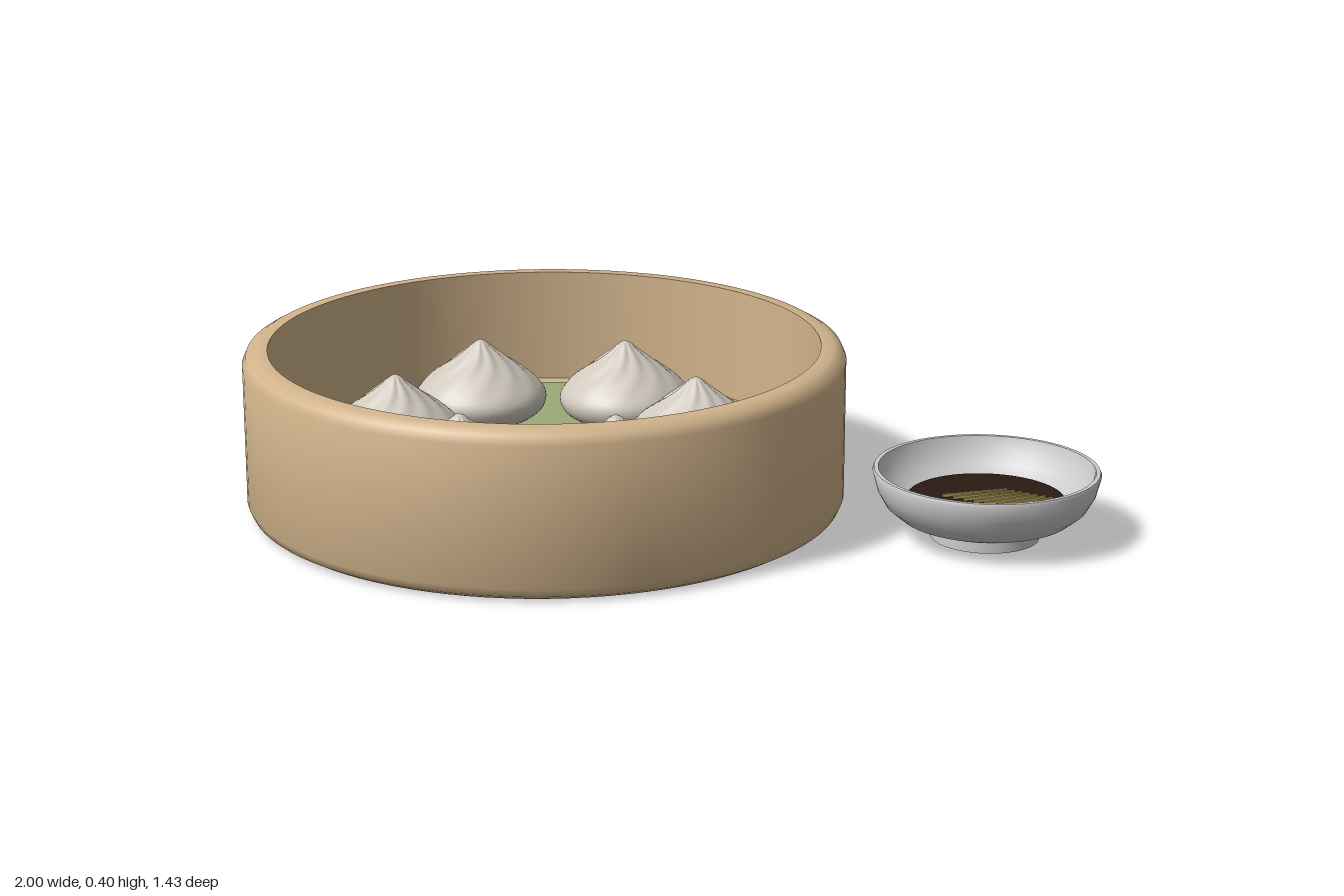
import * as THREE from 'three';
import { toCreasedNormals, mergeVertices } from 'three/addons/utils/BufferGeometryUtils.js';

const material = (color, side = THREE.FrontSide) =>
  new THREE.MeshStandardMaterial({ color, side });

const lathe = (profile, segments) =>
  new THREE.LatheGeometry(profile.map(([r, y]) => new THREE.Vector2(r, y)), segments);

function addMesh(parent, name, geometry, mat, x = 0, y = 0, z = 0) {
  const mesh = new THREE.Mesh(geometry, mat);
  mesh.name = name;
  mesh.position.set(x, y, z);
  parent.add(mesh);
  return mesh;
}

// Round dumpling whose upper half is gathered into twisted pleats
function dumplingGeometry() {
  const curve = new THREE.SplineCurve([
    [0.125, 0], [0.152, 0.02], [0.163, 0.05], [0.148, 0.08], [0.108, 0.115],
    [0.065, 0.146], [0.032, 0.172], [0.014, 0.188], [0, 0.195],
  ].map(([r, y]) => new THREE.Vector2(r, y)));
  const points = [new THREE.Vector2(0, 0), ...curve.getPoints(24)];
  points.at(-1).x = 0;
  let geo = new THREE.LatheGeometry(points, 80);
  const p = geo.attributes.position;
  for (let i = 0; i < p.count; i++) {
    const x = p.getX(i), y = p.getY(i), z = p.getZ(i);
    const t = THREE.MathUtils.smoothstep(y, 0.06, 0.17);
    const k = 1 + 0.06 * t * Math.cos(10 * Math.atan2(z, x) + 8 * t);
    p.setXYZ(i, x * k, y, z * k);
  }
  geo.deleteAttribute('normal');
  geo.deleteAttribute('uv');
  geo = mergeVertices(geo, 1e-5);
  geo.computeVertexNormals();
  return geo;
}

// Thin leaf with a gently three-lobed outline
function leafGeometry() {
  const outline = [];
  for (let i = 0; i < 72; i++) {
    const a = (i / 72) * Math.PI * 2;
    const r = 0.62 + 0.024 * Math.cos(3 * a + 2.83);
    outline.push(new THREE.Vector2(r * Math.cos(a), -r * Math.sin(a)));
  }
  return new THREE.ExtrudeGeometry(new THREE.Shape(outline), { depth: 0.006, bevelEnabled: false })
    .rotateX(-Math.PI / 2);
}

function createSteamer() {
  const steamer = new THREE.Group();
  steamer.name = 'steamer';
  const bamboo = material(0xd2b48c);

  // Basket wall, rim and floor in one profile
  const basket = lathe([
    [0, 0], [0.64, 0], [0.687, 0], [0.708, 0.012], [0.717, 0.032], [0.717, 0.363],
    [0.708, 0.383], [0.687, 0.395], [0.657, 0.395], [0.657, 0.11], [0, 0.11],
  ], 96);
  addMesh(steamer, 'basket', toCreasedNormals(basket, 1), bamboo);
  addMesh(steamer, 'leafLiner', leafGeometry(), material(0x9aab78), 0, 0.111, 0);

  // Ring of six dumplings
  const dumpling = dumplingGeometry(), dough = material(0xcfc8bd);
  for (let i = 0; i < 6; i++) {
    const a = Math.PI / 2 + (i * Math.PI) / 3;
    addMesh(steamer, 'dumpling', dumpling, dough, 0.36 * Math.cos(a), 0.117, 0.36 * Math.sin(a));
  }
  return steamer;
}

function createDish() {
  const dish = new THREE.Group();
  dish.name = 'sauceDish';

  // Bowl on a hollow foot ring
  const bowl = lathe([
    [0, 0.022], [0.112, 0.022], [0.115, 0], [0.127, 0], [0.127, 0.034], [0.16, 0.037],
    [0.2, 0.052], [0.234, 0.08], [0.254, 0.115], [0.265, 0.158], [0.262, 0.165], [0.252, 0.165],
    [0.244, 0.135], [0.222, 0.105], [0.192, 0.08], [0.15, 0.062], [0, 0.055],
  ], 64);
  addMesh(dish, 'bowl', toCreasedNormals(bowl, 0.9), material(0xcccccc));
  addMesh(dish, 'sauce', new THREE.CylinderGeometry(0.184, 0.175, 0.02, 64), material(0x2a1a12), 0, 0.082, 0);

  // Fanned strands lying on the sauce
  const strandMat = material(0xc2ab62);
  for (let i = 0; i < 8; i++) {
    const x0 = -0.09 + i * 0.027, x1 = 0.02 + i * 0.0195;
    const length = Math.hypot(x1 - x0, 0.115);
    const strand = addMesh(dish, 'strand', new THREE.BoxGeometry(0.007, 0.007, length),
      strandMat, (x0 + x1) / 2, 0.095, -0.013);
    strand.rotation.y = -Math.atan2(x1 - x0, 0.115);
  }
  return dish;
}

export function createModel() {
  const model = new THREE.Group();
  model.name = 'steamedDumplings';
  const steamer = createSteamer();
  steamer.position.x = -0.283;
  const dish = createDish();
  dish.position.set(0.735, 0, -0.315);
  model.add(steamer, dish);
  return model;
}
